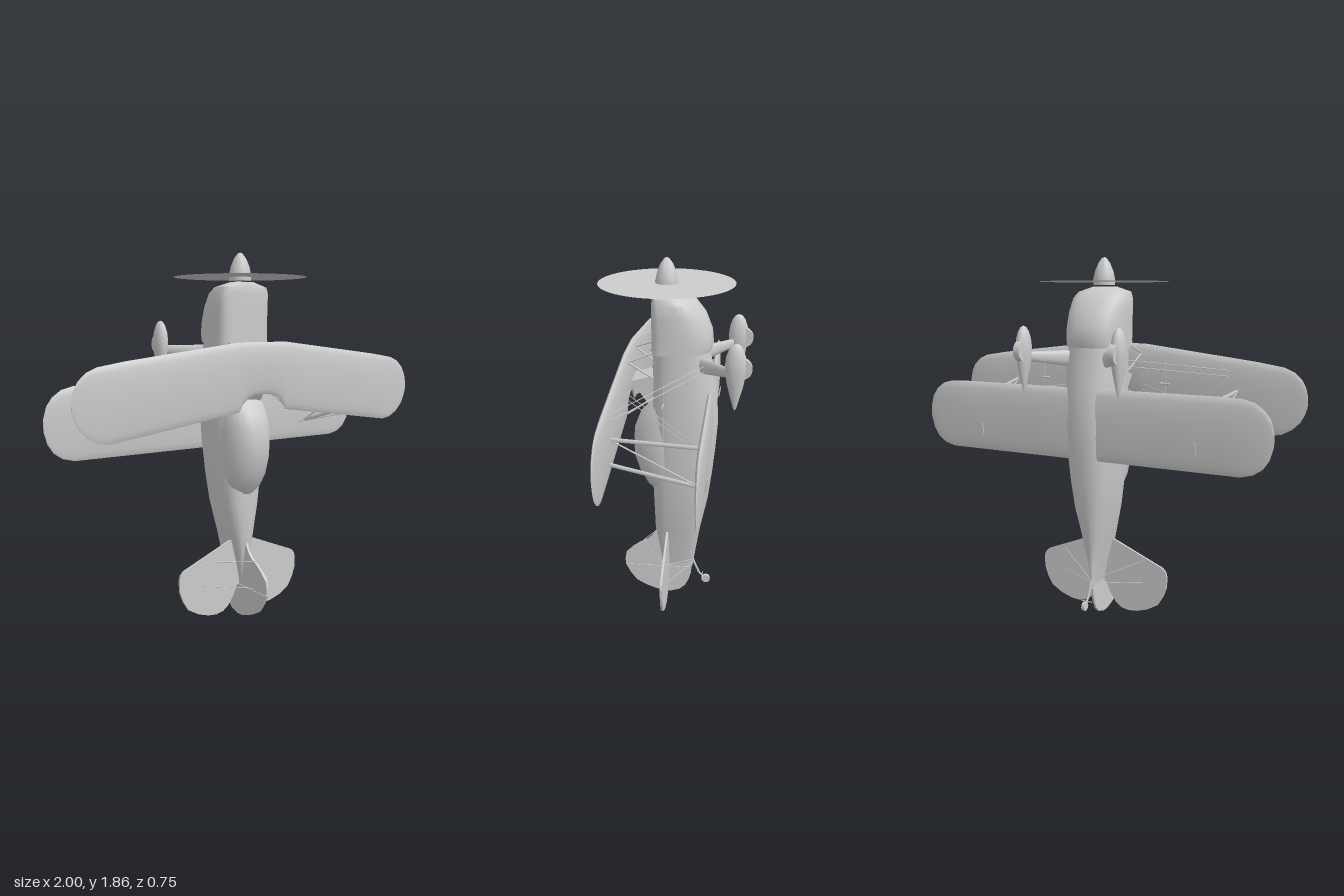
import * as THREE from 'three';
import { toCreasedNormals } from 'three/addons/utils/BufferGeometryUtils.js';

const grey = new THREE.MeshStandardMaterial({ color: 0xcccccc });
const thin = new THREE.MeshStandardMaterial({ color: 0xcccccc, side: THREE.DoubleSide });
const V = (x, y, z) => new THREE.Vector3(x, y, z);

export function createModel() {
  const model = new THREE.Group();

  function add(name, geometry, material = grey) {
    const mesh = new THREE.Mesh(geometry, material);
    mesh.name = name;
    model.add(mesh);
    return mesh;
  }

  // Skin over a row of closed rings, with both ends capped
  function loft(rings, crease = 0.6) {
    const centre = ring => {
      const c = ring.reduce((s, p) => s.add(p), V(0, 0, 0)).divideScalar(ring.length);
      return ring.map(() => c);
    };
    const all = [centre(rings[0]), ...rings, centre(rings[rings.length - 1])];
    const n = rings[0].length, pos = [], index = [];
    all.forEach(ring => ring.forEach(p => pos.push(p.x, p.y, p.z)));
    for (let j = 0; j < all.length - 1; j++) {
      for (let i = 0; i < n; i++) {
        const a = j * n + i, b = j * n + (i + 1) % n;
        index.push(a, a + n, b, b, a + n, b + n);
      }
    }
    const g = new THREE.BufferGeometry();
    g.setAttribute('position', new THREE.Float32BufferAttribute(pos, 3));
    g.setIndex(index);
    return toCreasedNormals(g, crease);
  }

  // Superellipse ring across the body: half width, upper and lower z, squareness
  function bodyRing([y, w, top, bottom, nTop = 2.8, nBottom = 2.5], mid = (top + bottom) / 2 + 0.03) {
    return Array.from({ length: 24 }, (_, i) => {
      const a = i / 24 * Math.PI * 2, c = Math.cos(a), s = Math.sin(a);
      const e = 2 / (s > 0 ? nTop : nBottom);
      return V(w * Math.sign(c) * Math.abs(c) ** e, y,
        mid + (s > 0 ? top - mid : mid - bottom) * Math.sign(s) * Math.abs(s) ** e);
    });
  }

  // Fuselage and cowling
  add('fuselage', loft([
    [0.17, 0.004, 0.07, -0.09], [0.3, 0.03, 0.09, -0.11], [0.42, 0.06, 0.11, -0.13],
    [0.6, 0.1, 0.115, -0.168], [0.75, 0.12, 0.12, -0.188], [0.9, 0.132, 0.12, -0.204],
    [1.05, 0.14, 0.12, -0.215], [1.23, 0.142, 0.115, -0.205], [1.44, 0.142, 0.108, -0.165],
  ].map(r => bodyRing(r))));
  add('cowling', loft([
    [1.425, 0.148, 0.112, -0.175, 5], [1.46, 0.148, 0.112, -0.186, 5], [1.52, 0.148, 0.112, -0.18, 5],
    [1.6, 0.148, 0.112, -0.148, 5], [1.665, 0.146, 0.11, -0.097, 5], [1.695, 0.133, 0.109, -0.055, 5],
    [1.72, 0.056, 0.1, -0.016, 3],
  ].map(r => bodyRing(r))));

  // Canopy hump behind the upper wing
  add('canopy', loft([
    [0.66, 0.05, 0.12, 0.02], [0.7, 0.095, 0.15, 0.02], [0.76, 0.115, 0.185, 0.02],
    [0.85, 0.124, 0.213, 0.02], [0.92, 0.127, 0.218, 0.02], [1.0, 0.127, 0.212, 0.02],
    [1.08, 0.122, 0.182, 0.02], [1.13, 0.115, 0.135, 0.02], [1.17, 0.1, 0.095, 0.02],
  ].map(r => bodyRing([...r, 2.2], 0.05))));

  // Spinner and propeller disc
  const spinner = [[0, 0], [0.055, 0], [0.056, 0.025], [0.046, 0.07], [0.03, 0.108], [0.012, 0.132], [0, 0.137]];
  add('spinner', toCreasedNormals(new THREE.LatheGeometry(spinner.map(p => new THREE.Vector2(...p)), 20), 0.7))
    .position.set(0, 1.728, 0.044);
  const disc = add('propellerDisc', new THREE.CircleGeometry(0.33, 64), thin);
  disc.rotation.x = -Math.PI / 2;
  disc.position.set(0, 1.745, 0.044);

  // Wings: stations of x, leading edge, trailing edge, half thickness, mirrored
  function wing(name, z, half) {
    const left = half.filter(s => s[0] > 0).map(([x, ...r]) => [-x, ...r]).reverse();
    add(name, loft([...left, ...half].map(([x, le, te, t]) =>
      Array.from({ length: 20 }, (_, i) => {
        const a = i / 20 * Math.PI * 2;
        return V(x, (le + te) / 2 + (le - te) / 2 * Math.cos(a),
          z - t * Math.sin(a) * (0.85 + 0.25 * Math.cos(a)));
      })), 0.9));
  }
  wing('upperWing', 0.235, [
    [0, 1.43, 1.178, 0.023], [0.05, 1.43, 1.174, 0.023], [0.09, 1.43, 1.16, 0.023],
    [0.12, 1.43, 1.13, 0.023], [0.14, 1.43, 1.096, 0.023], [0.45, 1.393, 1.053, 0.023],
    [0.75, 1.357, 1.011, 0.021], [0.83, 1.344, 1.0, 0.018], [0.88, 1.336, 1.008, 0.015],
    [0.93, 1.315, 1.035, 0.011], [0.97, 1.278, 1.075, 0.007], [0.99, 1.24, 1.115, 0.004],
    [1, 1.2, 1.15, 0.002],
  ]);
  wing('lowerWing', -0.173, [
    [0, 1.23, 0.87, 0.022], [0.7, 1.23, 0.87, 0.022], [0.81, 1.227, 0.87, 0.018],
    [0.87, 1.212, 0.885, 0.014], [0.915, 1.18, 0.915, 0.01], [0.945, 1.14, 0.96, 0.006],
    [0.962, 1.08, 1.02, 0.002],
  ]);

  // Thin plates with a curved outline
  function plate(points, depth) {
    const shape = new THREE.Shape(points.map(p => new THREE.Vector2(...p)));
    return new THREE.ExtrudeGeometry(shape, { depth, bevelEnabled: false }).translate(0, 0, -depth / 2);
  }
  const halfTail = [[0.065, 0.41], [0.345, 0.295], [0.363, 0.275], [0.37, 0.25], [0.368, 0.19], [0.35, 0.14],
    [0.32, 0.09], [0.26, 0.055], [0.2, 0.036], [0.15, 0.031], [0.11, 0.04], [0.08, 0.06], [0.045, 0.11], [0.018, 0.17]];
  add('tailplane', plate([...halfTail, ...halfTail.map(([x, y]) => [-x, y]).reverse()], 0.012))
    .position.z = 0.042;
  const sideways = g => g.rotateY(-Math.PI / 2);
  add('fin', sideways(plate([[-0.085, 0.167], [0.28, 0.167], [0.282, 0.2], [0.275, 0.24], [0.24, 0.275],
    [0.2, 0.305], [0.155, 0.33], [0.125, 0.36], [0.105, 0.4], [0, 0.4]], 0.014)));
  add('rudder', sideways(plate([[-0.085, 0.164], [-0.083, 0.13], [-0.07, 0.085], [-0.05, 0.045], [-0.02, 0.018],
    [0.03, 0.002], [0.07, 0.003], [0.12, 0.017], [0.17, 0.037], [0.22, 0.066], [0.255, 0.115], [0.28, 0.164]], 0.012)));

  // Windscreen wedge below the upper wing
  add('windscreen', sideways(plate([[0.1, 1.11], [0.215, 1.27], [0.1, 1.3]].map(([z, y]) => [z, y]), 0.15)));

  // Straight bars; wide stretches the section along the flight direction
  function bar(name, a, b, r0, r1 = r0, wide = 1, sides = 6) {
    const dir = b.clone().sub(a);
    const mesh = add(name, new THREE.CylinderGeometry(r1, r0, dir.length(), sides));
    const up = dir.clone().normalize();
    const side = V(0, 1, 0).cross(up);
    if (side.lengthSq() < 1e-6) side.set(1, 0, 0);
    side.normalize();
    mesh.quaternion.setFromRotationMatrix(new THREE.Matrix4().makeBasis(side, up, side.clone().cross(up)));
    mesh.position.copy(a).add(b).multiplyScalar(0.5);
    mesh.scale.z = wide;
  }

  const spat = [[0, -0.165], [0.008, -0.15], [0.022, -0.1], [0.038, -0.04], [0.048, 0.02], [0.05, 0.06],
    [0.045, 0.1], [0.033, 0.135], [0.018, 0.155], [0, 0.163]];

  for (const s of [-1, 1]) {
    const P = (x, y, z) => V(s * x, y, z);

    // Interplane struts with a diagonal and an aileron link
    bar('frontStrut', P(0.6, 1.16, -0.165), P(0.655, 1.21, 0.225), 0.005, 0.005, 2);
    bar('rearStrut', P(0.6, 0.97, -0.165), P(0.655, 1.09, 0.225), 0.005, 0.005, 2);
    bar('diagonalStrut', P(0.6, 0.97, -0.165), P(0.655, 1.21, 0.225), 0.004);
    bar('aileronLink', P(0.56, 0.96, -0.165), P(0.585, 1.05, 0.225), 0.002);
    bar('aileronHorn', P(0.6, 0.95, -0.19), P(0.6, 1.01, -0.2), 0.004);

    // Cabane struts
    bar('cabaneStrut', P(0.11, 1.43, 0.1), P(0.13, 1.38, 0.23), 0.005);
    bar('cabaneStrut', P(0.11, 1.3, 0.1), P(0.13, 1.39, 0.23), 0.005);
    bar('cabaneStrut', P(0.11, 1.2, 0.1), P(0.14, 1.12, 0.23), 0.005);

    // Bracing wires crossing at a spreader rod
    for (const d of [0, 0.03]) {
      bar('flyingWire', P(0.12, 1.35 + d, -0.16), P(0.62, 1.28 + d, 0.225), 0.002);
      bar('landingWire', P(0.62, 1.14 + d, -0.165), P(0.13, 1.19 + d, 0.225), 0.002);
    }
    bar('wireSpreader', P(0.35, 1.07, 0.025), P(0.35, 1.37, 0.025), 0.002);
    bar('wireSpreaderArm', P(0.32, 1.25, 0.028), P(0.37, 1.25, 0.028), 0.005);

    // Tail bracing
    bar('tailWire', P(0.25, 0.325, 0.042), P(0, 0.32, 0.18), 0.002);
    bar('tailWire', P(0.25, 0.2, 0.042), P(0, 0.175, 0.17), 0.002);
    bar('tailWire', P(0.25, 0.325, 0.042), P(0, 0.215, -0.1), 0.002);
    bar('tailWire', P(0.25, 0.2, 0.042), P(0, 0.205, -0.1), 0.002);

    // Main gear: leg, wheel fairing and wheel
    bar('gearLeg', P(0.1, 1.37, -0.13), P(0.255, 1.385, -0.29), 0.017, 0.009, 2.4, 10);
    const fairing = add('wheelFairing', new THREE.LatheGeometry(spat.map(p => new THREE.Vector2(...p)), 16));
    fairing.position.set(s * 0.26, 1.37, -0.3);
    fairing.scale.x = 0.7;
    const wheel = add('mainWheel', toCreasedNormals(new THREE.CylinderGeometry(0.05, 0.05, 0.032, 20), 0.6));
    wheel.rotation.z = Math.PI / 2;
    wheel.position.set(s * 0.255, 1.412, -0.327);
  }

  // Tail wheel
  bar('tailWheelStrut', V(0, 0.22, -0.09), V(0, 0.13, -0.128), 0.006);
  bar('tailWheelFork', V(0, 0.13, -0.128), V(0, 0.095, -0.165), 0.005);
  const tailWheel = add('tailWheel', toCreasedNormals(new THREE.CylinderGeometry(0.023, 0.023, 0.016, 16), 0.6));
  tailWheel.rotation.z = Math.PI / 2;
  tailWheel.position.set(0, 0.095, -0.165);
  bar('tailWheelAxle', V(-0.03, 0.115, -0.145), V(0.03, 0.115, -0.145), 0.003);

  return model;
}
